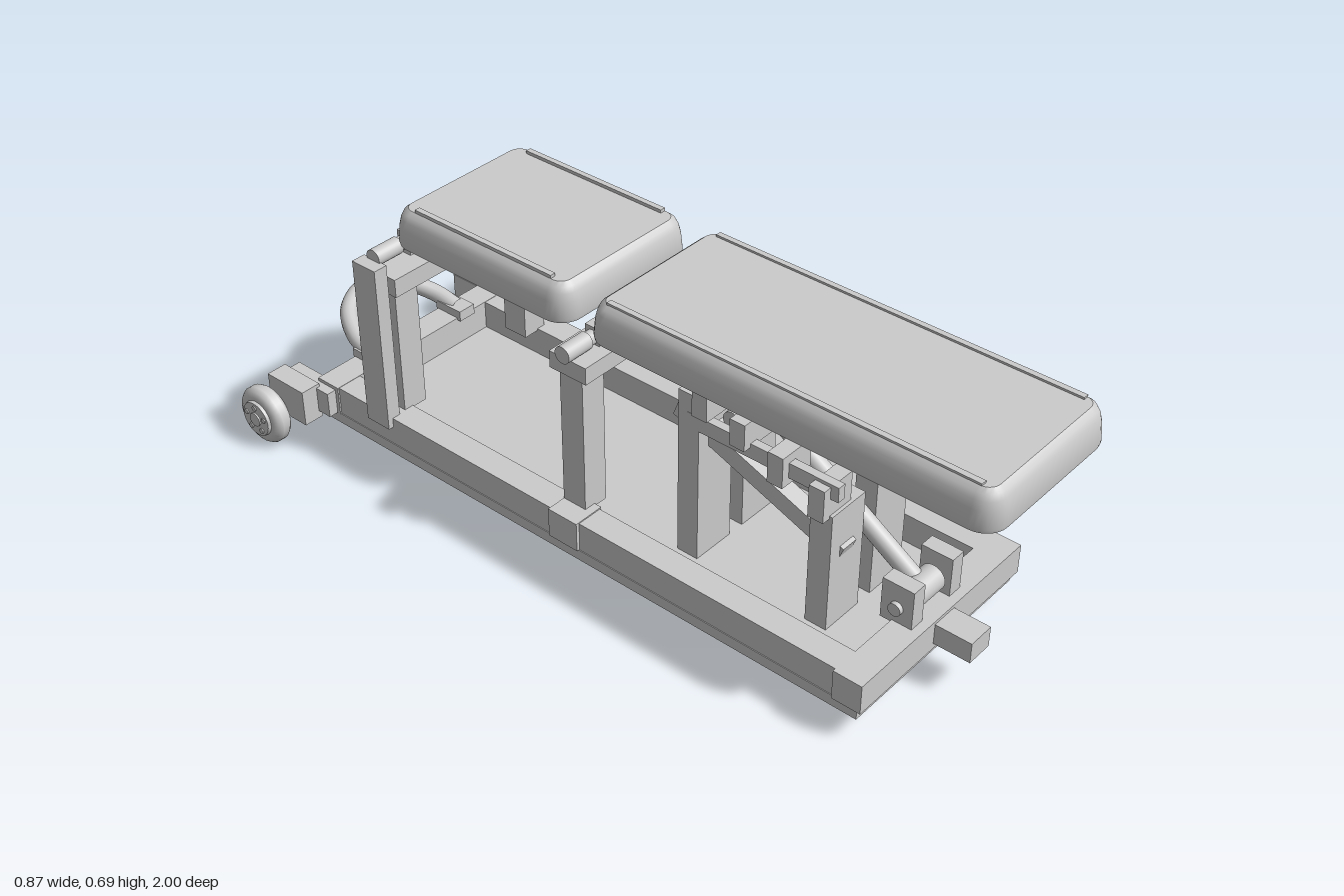
import * as THREE from 'three';
import { toCreasedNormals } from 'three/addons/utils/BufferGeometryUtils.js';

export function createModel() {
  const model = new THREE.Group();
  const grey = new THREE.MeshStandardMaterial({ color: 0xcccccc });

  function add(name, geometry) {
    const mesh = new THREE.Mesh(geometry, grey);
    mesh.name = name;
    model.add(mesh);
    return mesh;
  }
  // Box given by its limits on each axis
  function box(name, x0, x1, y0, y1, z0, z1) {
    const m = add(name, new THREE.BoxGeometry(x1 - x0, y1 - y0, z1 - z0));
    m.position.set((x0 + x1) / 2, (y0 + y1) / 2, (z0 + z1) / 2);
    return m;
  }
  // Same box on both sides of the centre line
  function pair(name, x0, x1, ...rest) {
    box(name + 'Left', x0, x1, ...rest);
    box(name + 'Right', -x1, -x0, ...rest);
  }
  // Cylinder lying along x
  function rod(name, r, x0, x1, y, z, sides = 28) {
    const m = add(name, new THREE.CylinderGeometry(r, r, x1 - x0, sides));
    m.rotation.z = Math.PI / 2;
    m.position.set((x0 + x1) / 2, y, z);
    return m;
  }
  // Cushion lofted from rounded rectangles, each [height, inset]
  function cushion(name, halfWidth, z0, z1, layers) {
    const pos = [], index = [], n = 32, mid = (z0 + z1) / 2, len = (z1 - z0) / 2;
    for (const [y, inset] of layers) {
      const r = 0.055 - inset;
      for (let i = 0; i < n; i++) {
        const corner = Math.floor(i / 8);
        const a = (corner + (i % 8) / 7) * Math.PI / 2;
        const sx = corner === 0 || corner === 3 ? 1 : -1, sz = corner < 2 ? 1 : -1;
        pos.push(sx * (halfWidth - 0.055) + r * Math.cos(a), y,
          mid + sz * (len - 0.055) + r * Math.sin(a));
      }
    }
    const last = (layers.length - 1) * n, bottom = layers.length * n, top = bottom + 1;
    pos.push(0, layers[0][0], mid, 0, layers[layers.length - 1][0], mid);
    for (let i = 0; i < n; i++) {
      const j = (i + 1) % n;
      for (let k = 0; k < last; k += n)
        index.push(k + i, k + n + i, k + j, k + j, k + n + i, k + n + j);
      index.push(bottom, i, j, top, last + j, last + i);
    }
    const g = new THREE.BufferGeometry();
    g.setAttribute('position', new THREE.Float32BufferAttribute(pos, 3));
    g.setIndex(index);
    add(name, toCreasedNormals(g, 0.6));
  }

  // Base tray and frame
  box('basePlate', -0.285, 0.285, 0.052, 0.08, -0.82, 0.78);
  pair('sideRail', 0.215, 0.283, 0.08, 0.155, -0.8, 0.75);
  box('frontCrossRail', -0.292, 0.292, 0.08, 0.156, 0.72, 0.793);
  box('rearCrossRail', -0.287, 0.287, 0.08, 0.156, -0.84, -0.77);
  pair('railCoupling', 0.21, 0.292, 0.082, 0.158, -0.07, 0.015);
  box('frontStub', -0.035, 0.035, 0.095, 0.148, 0.78, 0.885);

  // Middle support
  pair('middlePost', 0.172, 0.24, 0.15, 0.515, -0.07, -0.005);
  box('middleCrossBar', -0.25, 0.25, 0.512, 0.555, -0.09, 0.015);
  // Rear support
  pair('rearPost', 0.172, 0.24, 0.15, 0.49, -0.655, -0.585);
  pair('rearSidePlate', 0.26, 0.297, 0.13, 0.57, -0.655, -0.582);
  box('rearCrossBar', -0.25, 0.25, 0.483, 0.53, -0.672, -0.57);

  // Hinge rods with end collars
  for (const [name, y, z] of [['middleHinge', 0.573, -0.038], ['rearHinge', 0.576, -0.62]]) {
    rod(name + 'Rod', 0.017, -0.24, 0.24, y, z);
    rod(name + 'CollarLeft', 0.021, 0.19, 0.265, y, z);
    rod(name + 'CollarRight', 0.021, -0.265, -0.19, y, z);
    pair(name + 'Bracket', 0.12, 0.17, y - 0.03, y + 0.025, z - 0.02, z + 0.02);
  }

  // Cushions, their edge strips and mounting boards
  const layers = [[0.597, 0.002], [0.605, 0], [0.645, 0.004], [0.665, 0.009], [0.678, 0.016], [0.687, 0.027]];
  cushion('backrestPad', 0.213, -0.025, 1.0, layers);
  cushion('seatPad', 0.213, -0.62, -0.08, layers.map(([y, i]) => [y - 0.003, i]));
  pair('backrestStrip', 0.172, 0.186, 0.68, 0.692, 0.02, 0.95);
  pair('seatStrip', 0.172, 0.186, 0.68, 0.692, -0.555, -0.14);
  box('backrestBoard', -0.035, 0.035, 0.575, 0.6, 0.1, 0.89);
  box('seatBoard', -0.035, 0.035, 0.567, 0.6, -0.572, -0.145);

  // Adjuster posts
  pair('adjusterFrontPost', 0.022, 0.136, 0.08, 0.387, 0.532, 0.588);
  pair('adjusterRearPost', 0.022, 0.136, 0.08, 0.518, 0.175, 0.232);

  // Toothed rack on the right side
  box('rackBar', -0.137, -0.116, 0.432, 0.47, 0.2, 0.6);
  [[0.56, 0.38, 0.462], [0.453, 0.415, 0.492], [0.352, 0.46, 0.527], [0.25, 0.485, 0.557]].forEach(
    ([z, y0, y1], i) => box('rackTooth' + (i + 1), -0.158, -0.063, y0, y1, z - 0.02, z + 0.02));
  const brace = box('rackBrace', -0.103, -0.058, 0.327, 0.373, 0.12, 0.6);
  brace.position.set(-0.08, 0.35, 0.365);
  brace.rotation.x = Math.atan2(0.17, 0.45);

  // Support strut with its pivot and top handle bar
  const strutPath = new THREE.LineCurve3(new THREE.Vector3(0, 0.195, 0.73), new THREE.Vector3(0, 0.472, 0.295));
  add('strut', new THREE.TubeGeometry(strutPath, 1, 0.022, 24));
  rod('strutTopBar', 0.023, -0.105, 0.105, 0.472, 0.295);
  rod('strutPivot', 0.032, -0.04, 0.04, 0.195, 0.73);
  rod('pivotPin', 0.016, -0.1, 0.1, 0.195, 0.73);
  pair('pivotBracket', 0.05, 0.089, 0.15, 0.255, 0.69, 0.77);

  // Carry handle at the rear
  pair('handleMount', 0.117, 0.167, 0.15, 0.178, -0.845, -0.76);
  const half = [[0.143, 0.165, -0.8], [0.133, 0.185, -0.87], [0.085, 0.209, -0.945]];
  const handlePoints = [...half, [0, 0.222, -0.978],
    ...half.slice().reverse().map(([x, y, z]) => [-x, y, z])].map(p => new THREE.Vector3(...p));
  add('carryHandle', new THREE.TubeGeometry(new THREE.CatmullRomCurve3(handlePoints), 40, 0.022, 16));

  // Transport wheels
  pair('wheelArm', 0.265, 0.312, 0.08, 0.147, -0.935, -0.78);
  pair('wheelBlock', 0.302, 0.356, 0.06, 0.156, -0.945, -0.82);
  const profile = [[0, -0.033], [0.045, -0.033], [0.047, -0.025], [0.056, -0.026], [0.068, -0.019],
    [0.075, -0.009], [0.075, 0.009], [0.068, 0.019], [0.056, 0.026], [0.047, 0.025], [0.045, 0.033], [0, 0.033]];
  const wheelGeometry = toCreasedNormals(
    new THREE.LatheGeometry(profile.map(p => new THREE.Vector2(...p)), 40), 0.7);
  for (const s of [1, -1]) {
    const side = s > 0 ? 'Left' : 'Right';
    const wheel = add('wheel' + side, wheelGeometry);
    wheel.rotation.z = Math.PI / 2;
    wheel.position.set(s * 0.398, 0.075, -0.915);
    rod('axle' + side, 0.018, s > 0 ? 0.34 : -0.435, s > 0 ? 0.435 : -0.34, 0.075, -0.915);
    for (let i = 0; i < 5; i++) {
      const a = i * Math.PI * 0.4;
      rod('wheelBolt' + side, 0.007, s * 0.4 - 0.034, s * 0.4 + 0.034,
        0.075 + 0.032 * Math.cos(a), -0.915 + 0.032 * Math.sin(a), 12);
    }
  }
  return model;
}
